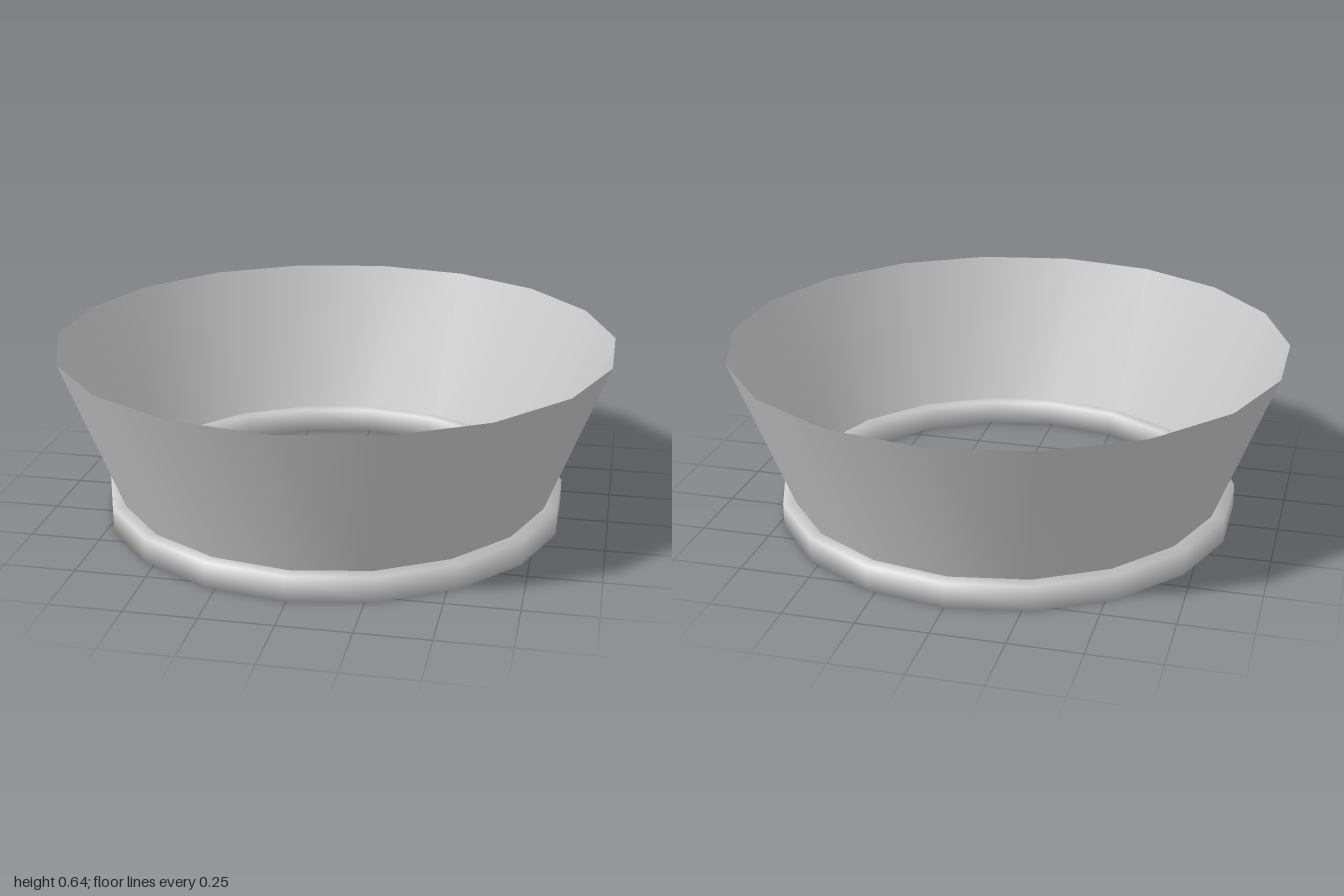
import * as THREE from 'three';
import { mergeVertices } from 'three/addons/utils/BufferGeometryUtils.js';

const SIDES = 18;

// Revolve a [radius, height] profile, with normals smoothed across every seam
function revolve(name, profile, side) {
  const lathe = new THREE.LatheGeometry(profile.map(([r, y]) => new THREE.Vector2(r, y)), SIDES);
  lathe.deleteAttribute('uv');
  lathe.deleteAttribute('normal');
  const geometry = mergeVertices(lathe, 1e-4);
  geometry.computeVertexNormals();
  const mesh = new THREE.Mesh(geometry, new THREE.MeshStandardMaterial({ color: 0xcccccc, side }));
  mesh.name = name;
  return mesh;
}

export function createModel() {
  const group = new THREE.Group();
  group.name = 'flaredCollar';

  // Thin open wall, flaring upward and seated inside the ring
  group.add(revolve('flaredWall', [[0.77, 0.045], [1, 0.64]], THREE.DoubleSide));

  // Square-section base ring with soft shading
  const inner = 0.74, outer = 0.835, height = 0.09;
  group.add(revolve('baseRing',
    [[outer, 0], [outer, height], [inner, height], [inner, 0], [outer, 0]], THREE.FrontSide));

  return group;
}
